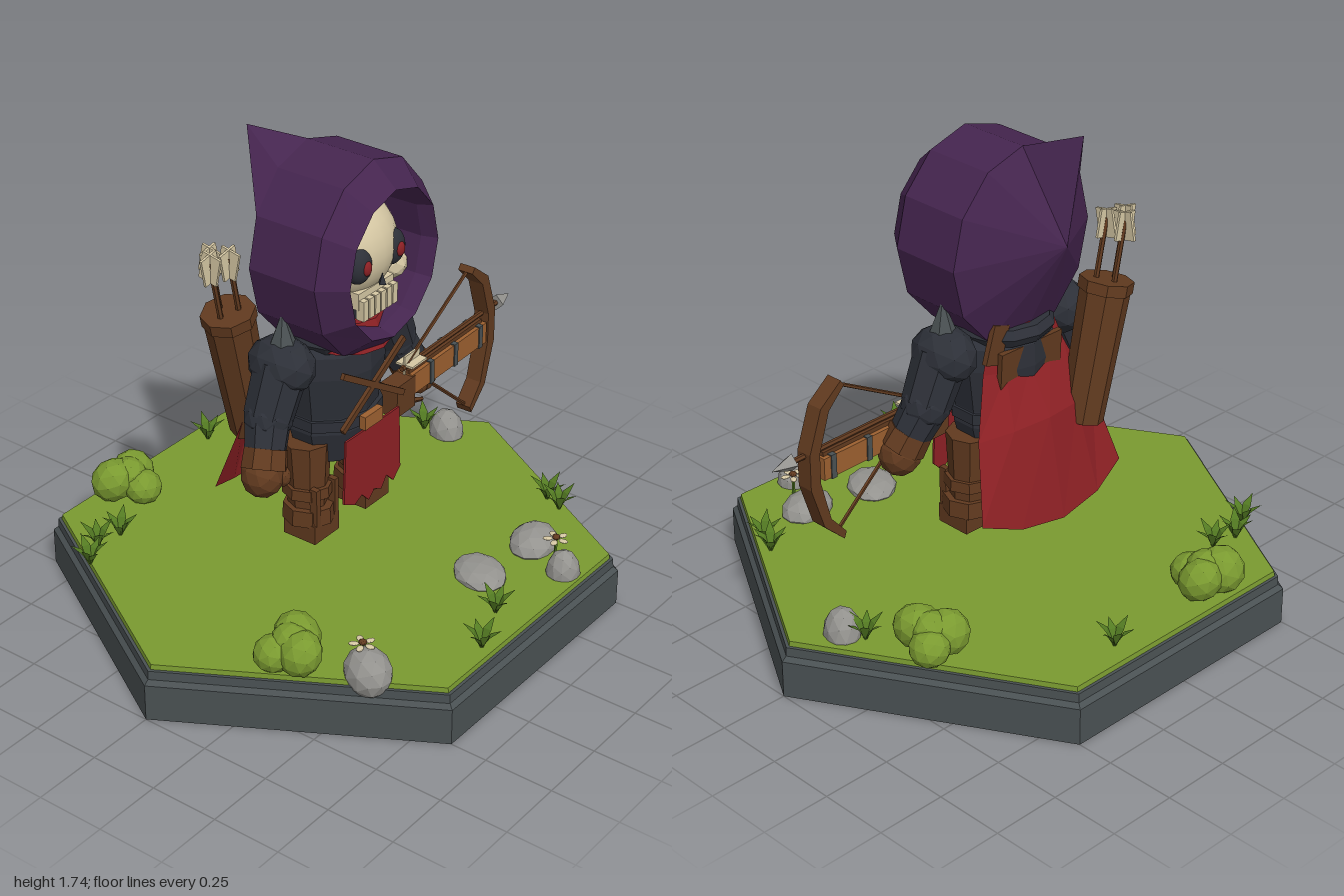
import * as THREE from 'three';

const V = (x, y, z) => new THREE.Vector3(x, y, z);
const mat = (name, color, both) => {
  const m = new THREE.MeshStandardMaterial({ color });
  m.name = name;
  if (both) m.side = THREE.DoubleSide;
  return m;
};

// Faceted normals
function flat(g) {
  const f = g.index ? g.toNonIndexed() : g;
  f.computeVertexNormals();
  return f;
}

// Skin over a list of cross-sections
function loft(rings, closed = true) {
  const pos = [];
  for (let r = 0; r < rings.length - 1; r++) {
    const n = rings[r].length;
    for (let i = 0; i < (closed ? n : n - 1); i++) {
      const j = (i + 1) % n, a = rings[r][i], b = rings[r][j], c = rings[r + 1][j], d = rings[r + 1][i];
      for (const p of [a, b, c, a, c, d]) pos.push(p.x, p.y, p.z);
    }
  }
  const g = new THREE.BufferGeometry();
  g.setAttribute('position', new THREE.Float32BufferAttribute(pos, 3));
  g.computeVertexNormals();
  return g;
}

export function createModel() {
  const purple = mat('purple cloth', 0x45254f, true), bone = mat('bone', 0xd6c8a4);
  const dark = mat('charcoal cloth', 0x2d3038), red = mat('red cloth', 0x8c2024, true);
  const brown = mat('dark leather', 0x613a1f), wood = mat('light wood', 0x9c6030);
  const slate = mat('slate', 0x4a5153), grass = mat('grass green', 0x7a9a30);
  const leaf = mat('leaf green', 0x537a22, true), rock = mat('grey rock', 0x94938f);

  const root = new THREE.Group();
  const group = (name, parent = root) => {
    const g = new THREE.Group();
    g.name = name;
    parent.add(g);
    return g;
  };
  const add = (parent, name, geo, m, p = [0, 0, 0], s = [1, 1, 1], r = [0, 0, 0]) => {
    const o = new THREE.Mesh(geo, m);
    o.name = name;
    o.position.set(...p); o.scale.set(...s); o.rotation.set(...r);
    parent.add(o);
    return o;
  };
  const box = (parent, name, m, p, s, r) => add(parent, name, new THREE.BoxGeometry(...s), m, p, undefined, r);
  const ball = (d = 1) => flat(new THREE.IcosahedronGeometry(1, d));
  // Tapered bar between two points
  const rod = (parent, name, m, a, b, r0, r1 = r0, sides = 8) => {
    const p = V(...a), q = V(...b), d = q.clone().sub(p);
    const o = add(parent, name, flat(new THREE.CylinderGeometry(r1, r0, d.length(), sides)), m);
    o.position.copy(p).add(q).multiplyScalar(0.5);
    o.quaternion.setFromUnitVectors(V(0, 1, 0), d.normalize());
    return o;
  };

  // Hexagonal base
  const base = group('base');
  const hex = (name, m, top, bottom, y0, y1) => add(base, name,
    flat(new THREE.CylinderGeometry(top, bottom, y1 - y0, 6)), m, [0, (y0 + y1) / 2, 0], undefined, [0, Math.PI / 6, 0]);
  hex('plinth', slate, 1, 1, 0, 0.135);
  hex('plinthBevel', slate, 0.982, 1, 0.135, 0.15);
  hex('plinthLedge', slate, 0.98, 0.982, 0.15, 0.182);
  hex('turf', grass, 0.965, 0.968, 0.18, 0.2);

  // Bushes
  for (const [x, z, a] of [[-0.235, -0.74, 0], [0.675, -0.36, 2.2], [-0.675, 0.35, 4]]) {
    const bush = group('bush');
    bush.position.set(x, 0.2, z);
    bush.rotation.y = a;
    for (const [bx, by, bz, s] of [[-0.045, 0.07, -0.03, 0.085], [0.05, 0.065, -0.02, 0.08], [0.01, 0.05, 0.06, 0.07], [0, 0.085, 0, 0.068]])
      add(bush, 'foliage', ball(), grass, [bx, by, bz], [s, s * 0.9, s], [bx * 20, bz * 20, 0]);
  }

  // Rocks
  for (const [x, z, sx, sy, sz] of [[0.11, 0.55, 0.115, 0.04, 0.09], [0.38, 0.59, 0.11, 0.06, 0.085],
    [0.29, 0.77, 0.06, 0.085, 0.06], [-0.575, 0.585, 0.095, 0.085, 0.08], [0.81, -0.085, 0.075, 0.09, 0.065]])
    add(root, 'rock', flat(new THREE.IcosahedronGeometry(1, 1)), rock, [x, 0.205, z], [sx, sy, sz], [0, x * 9, 0]);

  // Grass tufts
  const blade = loft([[V(-0.005, 0, 0), V(0.005, 0, 0)], [V(-0.016, 0.05, 0.028), V(0.016, 0.05, 0.028)],
    [V(0, 0.075, 0.068), V(0, 0.075, 0.068)]], false);
  for (const [x, z] of [[0.23, -0.76], [-0.65, -0.55], [-0.555, -0.6], [-0.455, -0.585], [0.78, -0.165],
    [0.65, 0.47], [0.62, 0.54], [-0.045, 0.72], [-0.235, 0.795]]) {
    const tuft = group('grassTuft');
    tuft.position.set(x, 0.198, z);
    for (let i = 0; i < 6; i++) add(tuft, 'blade', blade, leaf, undefined, [1, 1 + (i % 2) * 0.2, 0.95], [0, i * 1.05 + x * 7, 0]);
  }

  // Flowers
  for (const [x, y, z] of [[0.35, 0.28, 0.7], [-0.55, 0.285, 0.545]]) {
    const flower = group('flower');
    rod(flower, 'stem', leaf, [x, 0.2, z], [x, y, z], 0.006, 0.006, 5);
    add(flower, 'flowerCentre', ball(), brown, [x, y + 0.006, z], [0.014, 0.01, 0.014]);
    for (let i = 0; i < 5; i++) {
      const a = i * Math.PI * 0.4;
      add(flower, 'petal', ball(), bone, [x + 0.029 * Math.sin(a), y, z + 0.029 * Math.cos(a)], [0.012, 0.005, 0.018], [0, a, 0]);
    }
  }

  // Hood: swept outline with a back peak and a hollow opening
  const figure = group('figure');
  const ring = (rx, ry, z) => Array.from({ length: 12 }, (_, i) =>
    V(rx * Math.cos(i * Math.PI / 6), 1.34 + ry * Math.sin(i * Math.PI / 6), z));
  const backRing = ring(0, 0, 0).map((_, i) => (i === 3 || i === 4) ? V(-0.115, 1.735, -0.26) : V(-0.035, 1.375, -0.27));
  add(figure, 'hood', loft([backRing, ring(0.31, 0.347, -0.1), ring(0.31, 0.347, 0.165), ring(0.24, 0.265, 0.255),
    ring(0.22, 0.25, 0.2), ring(0.215, 0.24, -0.05), ring(0, 0, -0.05)]), purple);

  // Skull
  const skull = group('skull', figure);
  const round = new THREE.SphereGeometry(1, 24, 16);
  add(skull, 'cranium', round, bone, [0, 1.355, 0.02], [0.205, 0.19, 0.195]);
  box(skull, 'upperJaw', bone, [0, 1.215, 0.13], [0.19, 0.06, 0.1]);
  box(skull, 'mouth', dark, [0, 1.175, 0.13], [0.18, 0.05, 0.1]);
  add(skull, 'nose', flat(new THREE.ConeGeometry(0.016, 0.04, 4)), dark, [0, 1.275, 0.205]);
  for (const s of [-1, 1]) {
    add(skull, 'cheekbone', ball(), bone, [s * 0.158, 1.245, 0.11], [0.06, 0.06, 0.07]);
    add(skull, 'eyeSocket', round, dark, [s * 0.09, 1.347, 0.175], [0.052, 0.064, 0.04]);
    add(skull, 'pupil', round, red, [s * 0.09, 1.347, 0.21], [0.02, 0.026, 0.013]);
  }
  for (let i = 0; i < 6; i++) box(skull, 'tooth', bone, [-0.08 + i * 0.032, 1.185, 0.185], [0.025, 0.072, 0.03]);

  // Scarf, collar and torso
  add(figure, 'scarf', flat(new THREE.CylinderGeometry(0.13, 0.16, 0.1, 12)), red, [0, 1.07, 0.03], [1, 1, 1.15]);
  add(figure, 'collar', flat(new THREE.TorusGeometry(0.15, 0.035, 6, 12)), dark, [0, 1.04, 0], undefined, [Math.PI / 2, 0, 0]);
  const profile = [[0, 0.58], [0.15, 0.58], [0.185, 0.7], [0.18, 0.76], [0.205, 0.92], [0.2, 1.0], [0.13, 1.08], [0, 1.1]];
  add(figure, 'torso', flat(new THREE.LatheGeometry(profile.map(p => new THREE.Vector2(...p)), 10)), dark, undefined, [1, 1, 0.8]);
  add(figure, 'belt', flat(new THREE.CylinderGeometry(0.19, 0.19, 0.04, 10)), dark, [0, 0.735, 0], [1, 1, 0.85]);
  box(figure, 'buckle', wood, [0, 0.735, 0.165], [0.1, 0.05, 0.025]);
  for (const s of [-1, 1]) box(figure, 'chestStrap', brown, [0, 0.865, 0.172], [0.4, 0.022, 0.014], [0, 0, s * 0.56]);
  box(figure, 'backPanel', brown, [0, 0.8, -0.13], [0.28, 0.4, 0.02], [-0.05, 0, 0]);
  box(figure, 'backStrap', brown, [0.14, 1.03, -0.12], [0.07, 0.14, 0.02], [0, 0, 0.3]);

  // Ragged loincloth
  const rag = new THREE.Shape([[-0.15, 0.71], [-0.16, 0.47], [-0.1, 0.44], [-0.06, 0.46], [-0.02, 0.42], [0.01, 0.45],
    [0.05, 0.43], [0.08, 0.47], [0.12, 0.43], [0.16, 0.47], [0.15, 0.71]].map(p => new THREE.Vector2(...p)));
  add(figure, 'loincloth', new THREE.ExtrudeGeometry(rag, { depth: 0.008, bevelEnabled: false }), red, [0, 0, 0.165]);

  // Cape: rows of [half width, side y, centre y, side z, centre z]
  const cape = [[0.13, 1.09, 1.09, -0.09, -0.12], [0.19, 0.93, 0.91, -0.11, -0.14], [0.27, 0.73, 0.75, -0.17, -0.235],
    [0.33, 0.465, 0.39, -0.25, -0.305]].map(([w, sy, cy, sz, cz]) => [-1, -0.55, 0, 0.55, 1].map(t => {
    const k = t * t;
    return V(t * w, cy + (sy - cy) * k, cz + (sz - cz) * k);
  }));
  add(figure, 'cape', loft(cape, false), red);

  // Limbs, mirrored
  for (const s of [-1, 1]) {
    const arm = group(s > 0 ? 'leftArm' : 'rightArm', figure);
    add(arm, 'shoulder', ball(), dark, [s * 0.265, 1.0, -0.005], [0.1, 0.1, 0.125]);
    rod(arm, 'shoulderSpike', slate, [s * 0.265, 1.07, 0], [s * 0.265, 1.195, 0], 0.05, 0.002, 6);
    rod(arm, 'upperArm', dark, [s * 0.27, 1.0, 0], [s * 0.345, 0.84, 0], 0.095, 0.085);
    add(arm, 'elbow', ball(), dark, [s * 0.345, 0.84, 0], [0.085, 0.085, 0.085]);
    rod(arm, 'forearm', dark, [s * 0.345, 0.84, 0], [s * 0.405, 0.72, 0.03], 0.08, 0.07);
    rod(arm, 'gloveCuff', brown, [s * 0.39, 0.75, 0.025], [s * 0.42, 0.69, 0.04], 0.075, 0.08);
    add(arm, 'hand', ball(), brown, [s * 0.43, 0.67, 0.04], [0.072, 0.075, 0.075]);
    add(arm, 'thumb', ball(), brown, [s * 0.385, 0.665, 0.085], [0.03, 0.04, 0.035]);

    const leg = group(s > 0 ? 'leftLeg' : 'rightLeg', figure);
    const x = s * 0.143;
    rod(leg, 'thigh', brown, [x, 0.4, 0.005], [x, 0.66, 0], 0.068, 0.085);
    rod(leg, 'kneeCuff', brown, [x, 0.46, 0.005], [x, 0.5, 0.005], 0.09, 0.088);
    rod(leg, 'ankleCuff', brown, [x, 0.36, 0.01], [x, 0.42, 0.01], 0.093, 0.09);
    box(leg, 'foot', brown, [x, 0.335, 0.02], [0.135, 0.07, 0.135]);
    for (const d of [-0.05, 0.05]) box(leg, 'bootStrap', brown, [x + d, 0.44, 0.075], [0.022, 0.14, 0.03]);
  }

  // Quiver with arrows
  const quiver = group('quiver', figure);
  rod(quiver, 'quiverTube', brown, [-0.19, 0.66, -0.2], [-0.3, 1.14, -0.2], 0.075, 0.088);
  rod(quiver, 'quiverRim', brown, [-0.293, 1.11, -0.2], [-0.302, 1.15, -0.2], 0.094);
  for (const [dx, dz] of [[-0.03, 0], [0.01, -0.035], [0.035, 0.025]]) {
    const a = [-0.3 + dx, 1.1, -0.2 + dz], b = [-0.355 + dx, 1.36, -0.2 + dz];
    rod(quiver, 'arrowShaft', brown, a, b, 0.01, 0.01, 6);
    for (const r of [0, Math.PI / 2])
      add(quiver, 'fletching', new THREE.BoxGeometry(0.075, 0.1, 0.009), bone, [b[0], 1.34, b[2]], undefined, [0, r, 0.2]);
  }

  // Crossbow
  const bow = group('crossbow', figure);
  bow.position.set(0, 0, 0.115);
  bow.rotation.y = 0.03;
  box(bow, 'stockButt', brown, [0.23, 0.7, 0], [0.11, 0.12, 0.07]);
  box(bow, 'stock', wood, [0.505, 0.725, 0], [0.47, 0.08, 0.065]);
  box(bow, 'rail', brown, [0.5, 0.772, 0], [0.46, 0.016, 0.035]);
  for (const x of [0.39, 0.54, 0.7]) box(bow, 'band', slate, [x, 0.725, 0], [0.022, 0.088, 0.073]);
  rod(bow, 'trigger', brown, [0.3, 0.64, 0], [0.38, 0.61, 0], 0.012, 0.008, 5);
  const limb = new THREE.Shape([[0.655, 1.02], [0.64, 1], [0.71, 0.93], [0.755, 0.79], [0.755, 0.68], [0.715, 0.53], [0.65, 0.455],
    [0.66, 0.43], [0.745, 0.51], [0.798, 0.67], [0.798, 0.8], [0.745, 0.95]].map(p => new THREE.Vector2(...p)));
  add(bow, 'bowLimbs', new THREE.ExtrudeGeometry(limb, { depth: 0.06, bevelEnabled: false }), brown, [0, 0, -0.03]);
  for (const y of [1.0, 0.46]) rod(bow, 'bowString', brown, [0.655, y, 0], [0.27, 0.79, 0], 0.007, 0.007, 5);
  rod(bow, 'boltShaft', brown, [0.25, 0.788, 0], [0.86, 0.788, 0], 0.01, 0.01, 6);
  rod(bow, 'boltHead', rock, [0.85, 0.788, 0], [0.935, 0.788, 0], 0.032, 0.001, 4);
  for (const r of [0, Math.PI / 2]) add(bow, 'boltFletching', new THREE.BoxGeometry(0.09, 0.07, 0.008), bone, [0.31, 0.795, 0], undefined, [r, 0, 0]);

  return root;
}
